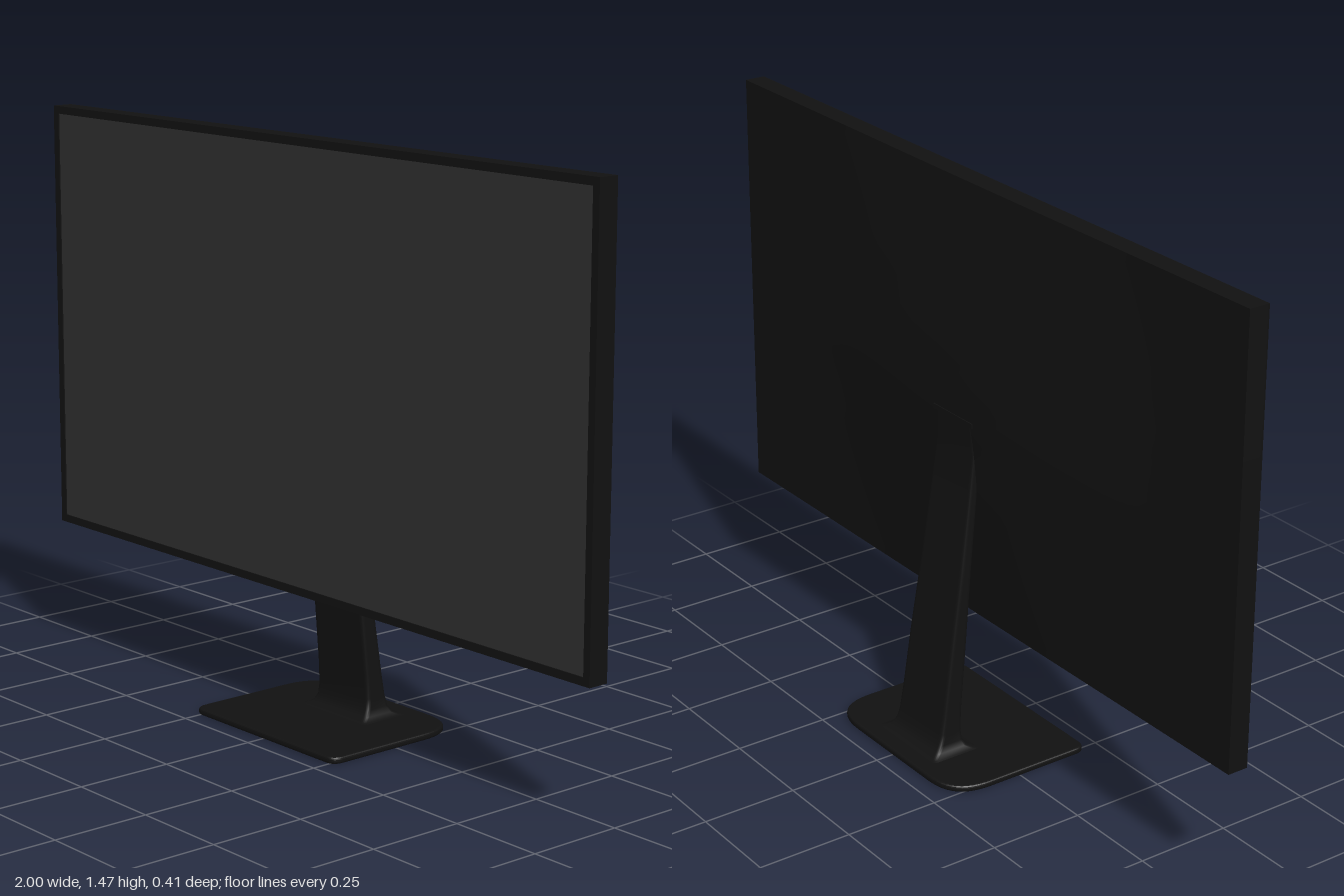
import * as THREE from 'three';

const W = 2, Y0 = 0.345, Y1 = 1.472, H = Y1 - Y0, YC = (Y0 + Y1) / 2;

const black = new THREE.MeshStandardMaterial({ color: 0x111111 });
const glass = new THREE.MeshStandardMaterial({ color: 0x303030 });

function add(group, name, geometry, material = black) {
  const mesh = new THREE.Mesh(geometry, material);
  mesh.name = name;
  group.add(mesh);
  return mesh;
}

// Smooth interpolation through [position, value] pairs
function curveThrough(pairs) {
  return (t) => {
    let i = 0;
    while (i < pairs.length - 2 && t > pairs[i + 1][0]) i++;
    const [a, va] = pairs[i], [b, vb] = pairs[i + 1];
    return va + (vb - va) * THREE.MathUtils.clamp((t - a) / (b - a), 0, 1);
  };
}

// Housing: a slab whose back swells towards the stand mount
function housingGeometry() {
  const geo = new THREE.BoxGeometry(W, H, 0.05, 48, 48, 1);
  geo.translate(0, YC, 0.06);
  const rise = curveThrough([[Y0, 0.03], [0.69, 0.7], [0.8, 0.86], [0.88, 1], [0.97, 1], [1.06, 0.95], [1.2, 0.7], [Y1, 0.05]]);
  const p = geo.attributes.position;
  for (let i = 0; i < p.count; i++) {
    if (p.getZ(i) > 0.06) continue;
    const x = Math.min(Math.abs(p.getX(i)) / 0.86, 1);
    const across = 0.5 + 0.5 * Math.cos(Math.PI * x);
    p.setZ(i, 0.035 - 0.05 * across * rise(p.getY(i)));
  }
  geo.computeVertexNormals();
  return geo;
}

// Bezel: rectangular frame around the panel
function bezelGeometry(border, depth) {
  const rect = (target, w, h) => target.moveTo(-w, -h).lineTo(w, -h).lineTo(w, h).lineTo(-w, h).closePath();
  const shape = rect(new THREE.Shape(), W / 2, H / 2);
  shape.holes.push(rect(new THREE.Path(), W / 2 - border, H / 2 - border));
  return new THREE.ExtrudeGeometry(shape, { depth, bevelEnabled: false });
}

// Rounded rectangle with different radii at its two ends (+y is the back)
function roundedShape(hw, front, back, rf, rb) {
  const s = new THREE.Shape();
  s.moveTo(-hw + rf, front).lineTo(hw - rf, front);
  s.quadraticCurveTo(hw, front, hw, front + rf);
  s.lineTo(hw, back - rb);
  s.bezierCurveTo(hw, back - rb * 0.3, hw - rb * 0.3, back, hw - rb, back);
  s.lineTo(-hw + rb, back);
  s.bezierCurveTo(-hw + rb * 0.3, back, -hw, back - rb * 0.3, -hw, back - rb);
  s.lineTo(-hw, front + rf);
  s.quadraticCurveTo(-hw, front, -hw + rf, front);
  return s;
}

// Loft through rounded-rectangle rings: [y, zFront, zBack, halfWidth]
function loftGeometry(rings) {
  const pos = [], idx = [];
  let n = 0;
  for (const [y, zf, zb, hw] of rings) {
    const r = Math.min(0.012, (zf - zb) * 0.35);
    const pts = roundedShape(hw, -zf, -zb, r, r).getPoints(5);
    n = pts.length;
    for (const q of pts) pos.push(q.x, y, -q.y);
  }
  for (let k = 0; k < rings.length - 1; k++) {
    for (let i = 0; i < n; i++) {
      const a = k * n + i, b = k * n + (i + 1) % n;
      idx.push(a, b, b + n, a, b + n, a + n);
    }
  }
  const geo = new THREE.BufferGeometry();
  geo.setAttribute('position', new THREE.Float32BufferAttribute(pos, 3));
  geo.setIndex(idx);
  geo.computeVertexNormals();
  return geo;
}

export function createModel() {
  const model = new THREE.Group();
  model.name = 'monitor';

  // Display
  const display = new THREE.Group();
  display.name = 'display';
  model.add(display);
  add(display, 'housing', housingGeometry());
  add(display, 'bezel', bezelGeometry(0.02, 0.005)).position.set(0, YC, 0.085);
  add(display, 'screenPanel', new THREE.PlaneGeometry(W - 0.04, H - 0.04), glass).position.set(0, YC, 0.087);
  add(display, 'mountLip', new THREE.BoxGeometry(0.16, 0.012, 0.014)).position.set(0, 0.885, -0.01);

  // Stand
  const stand = new THREE.Group();
  stand.name = 'stand';
  model.add(stand);
  add(stand, 'neck', loftGeometry([
    [0.014, -0.01, -0.175, 0.135],
    [0.018, -0.025, -0.155, 0.118],
    [0.026, -0.043, -0.137, 0.104],
    [0.042, -0.053, -0.125, 0.098],
    [0.07, -0.056, -0.117, 0.096],
    [0.13, -0.053, -0.107, 0.095],
    [0.3, -0.037, -0.083, 0.092],
    [0.5, -0.018, -0.052, 0.087],
    [0.7, 0.002, -0.023, 0.081],
    [0.8, 0.012, -0.01, 0.078],
    [0.88, 0.02, -0.015, 0.076],
  ]));

  // Base plate with softened rim, tight front corners and wide back corners
  const bevel = 0.006;
  const base = new THREE.ExtrudeGeometry(
    roundedShape(0.27 - bevel, -0.205 + bevel, 0.205 - bevel, 0.025, 0.11),
    { depth: 0.017 - 2 * bevel, bevelSize: bevel, bevelThickness: bevel, bevelSegments: 3, curveSegments: 12 });
  base.rotateX(-Math.PI / 2);
  base.translate(0, bevel, 0);
  add(stand, 'basePlate', base);

  return model;
}
